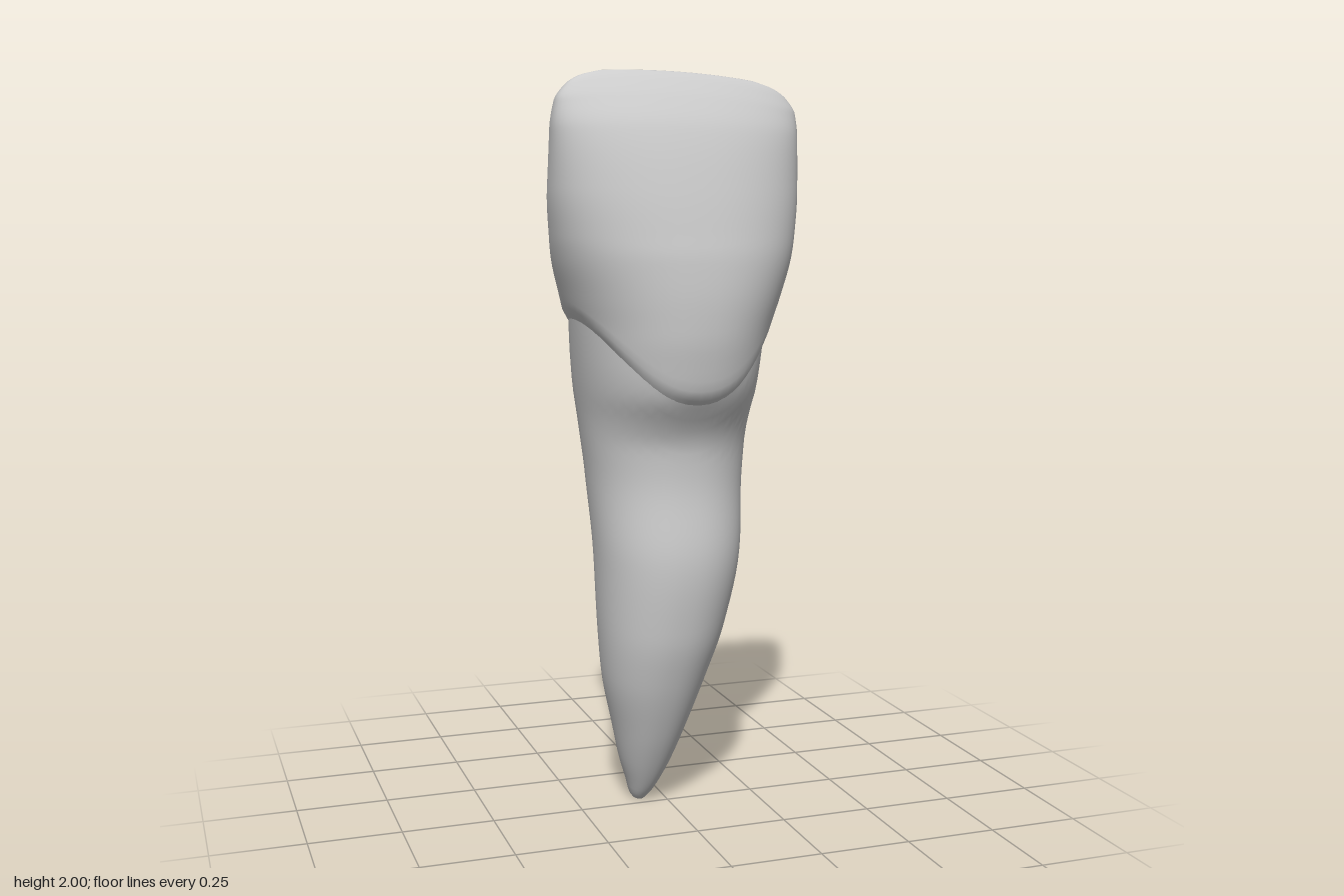
import * as THREE from 'three';

const SIDES = 64;

// Each row: height, min x, max x, front z, back z, z of the widest point
const ROOT = [
  [0, -0.085, -0.055, -0.03, -0.08, -0.055],
  [0.015, -0.095, -0.04, -0.015, -0.092, -0.053],
  [0.05, -0.105, -0.02, 0.01, -0.1, -0.045],
  [0.12, -0.127, 0.012, 0.05, -0.11, -0.035],
  [0.22, -0.15, 0.047, 0.098, -0.124, -0.02],
  [0.38, -0.184, 0.1, 0.16, -0.146, 0],
  [0.52, -0.196, 0.145, 0.198, -0.168, 0.01],
  [0.72, -0.204, 0.188, 0.22, -0.198, 0.01],
  [0.94, -0.218, 0.205, 0.2, -0.238, -0.02],
  [1.03, -0.228, 0.212, 0.205, -0.26, -0.02],
  [1.1, -0.236, 0.22, 0.235, -0.283, -0.02],
  [1.17, -0.246, 0.23, 0.278, -0.306, -0.01],
  [1.24, -0.254, 0.238, 0.292, -0.303, 0],
  [1.42, -0.272, 0.26, 0.3, -0.21, 0.01],
];
const CROWN = [
  [1.12, -0.23, 0.22, 0.25, -0.275, -0.02],
  [1.17, -0.246, 0.232, 0.285, -0.295, -0.01],
  [1.25, -0.257, 0.243, 0.302, -0.315, 0],
  [1.33, -0.269, 0.257, 0.313, -0.275, 0.01],
  [1.42, -0.295, 0.288, 0.316, -0.218, 0.02],
  [1.52, -0.325, 0.32, 0.312, -0.145, 0.04],
  [1.58, -0.337, 0.332, 0.302, -0.088, 0.05],
  [1.7, -0.349, 0.346, 0.275, -0.052, 0.06],
  [1.85, -0.35, 0.35, 0.225, -0.015, 0.075],
  [1.93, -0.34, 0.345, 0.175, 0.01, 0.08],
  [1.97, -0.312, 0.318, 0.14, 0.03, 0.085],
  [1.99, -0.275, 0.278, 0.118, 0.05, 0.088],
  [2, -0.22, 0.22, 0.1, 0.072, 0.09],
];

const smooth = THREE.MathUtils.smoothstep;

// Smooth cubic interpolation of a table row at height y
function sample(rows, y) {
  const last = rows.length - 1;
  let i = 0;
  while (i < last - 1 && y > rows[i + 1][0]) i++;
  const h = rows[i + 1][0] - rows[i][0];
  const t = THREE.MathUtils.clamp((y - rows[i][0]) / h, 0, 1);
  const slope = (k, c) => {
    const a = rows[Math.max(k - 1, 0)], b = rows[k], d = rows[Math.min(k + 1, last)];
    if (k === 0 || k === last) return (d[c] - a[c]) / (d[0] - a[0]);
    const s0 = (b[c] - a[c]) / (b[0] - a[0]), s1 = (d[c] - b[c]) / (d[0] - b[0]);
    return s0 * s1 > 0 ? (2 * s0 * s1) / (s0 + s1) : 0;
  };
  return [1, 2, 3, 4, 5].map((c) =>
    (2 * t ** 3 - 3 * t * t + 1) * rows[i][c] + (t ** 3 - 2 * t * t + t) * h * slope(i, c) +
    (3 * t * t - 2 * t ** 3) * rows[i + 1][c] + (t ** 3 - t * t) * h * slope(i + 1, c));
}

// Scalloped neck line: low in front, high at the sides
const neckHeight = (a) => 1.37 - (Math.sin(a) > 0 ? 0.22 : 0.13) * Math.sin(a) ** 2;

// Point of a superellipse section, with separate front and back depths
function sectionPoint(rows, y, a, nBack, inset = 1) {
  const [x0, x1, zf, zb, zc] = sample(rows, y);
  const c = Math.cos(a), s = Math.sin(a), n = s > 0 ? 2.15 : nBack;
  const u = Math.sign(c) * Math.abs(c) ** (2 / n), v = Math.abs(s) ** (2 / n);
  return new THREE.Vector3(
    (x0 + x1) / 2 + u * inset * (x1 - x0) / 2, y, zc + v * inset * ((s > 0 ? zf : zb) - zc));
}

// Skin a stack of rings, closing the chosen ends
function loft(name, count, pointAt, capBottom, capTop) {
  const pos = [], idx = [];
  for (let j = 0; j <= count; j++)
    for (let i = 0; i < SIDES; i++) pos.push(...pointAt(j / count, (i / SIDES) * Math.PI * 2).toArray());
  for (let j = 0; j < count; j++)
    for (let i = 0; i < SIDES; i++) {
      const k = (i + 1) % SIDES, a = j * SIDES + i, b = j * SIDES + k;
      idx.push(a, a + SIDES, b, b, a + SIDES, b + SIDES);
    }
  const cap = (row, up) => {
    const base = row * SIDES, mid = pos.length / 3, p = [0, 0, 0];
    for (let i = 0; i < SIDES; i++) for (let c = 0; c < 3; c++) p[c] += pos[(base + i) * 3 + c] / SIDES;
    pos.push(...p);
    for (let i = 0; i < SIDES; i++) {
      const a = base + i, b = base + (i + 1) % SIDES;
      idx.push(mid, up ? b : a, up ? a : b);
    }
  };
  if (capBottom) cap(0, false);
  if (capTop) cap(count, true);
  const geo = new THREE.BufferGeometry();
  geo.setAttribute('position', new THREE.Float32BufferAttribute(pos, 3));
  geo.setIndex(idx);
  geo.computeVertexNormals();
  const mesh = new THREE.Mesh(geo, new THREE.MeshStandardMaterial({ color: 0xcccccc, side: THREE.DoubleSide }));
  mesh.name = name;
  return mesh;
}

export function createModel() {
  const tooth = new THREE.Group();
  tooth.name = 'incisorTooth';

  // Tapering root, ending just under the crown's rim
  tooth.add(loft('root', 48, (t, a) =>
    sectionPoint(ROOT, t ** 1.3 * (neckHeight(a) + 0.02), a, 2.25), true, false));

  // Crown: bulged front, sloping back heel and a hollow between two side ridges
  tooth.add(loft('crown', 56, (t, a) => {
    const start = neckHeight(a) - 0.015;
    const y = start + (2 - start) * (1 - (1 - t) ** 1.7);
    const inset = 0.95 + 0.06 * smooth(y - start, 0, 0.035) - 0.01 * smooth(y, 1.4, 1.6);
    const p = sectionPoint(CROWN, y, a, 2.2 + 0.9 * smooth(y, 1.4, 1.62), inset);
    if (Math.sin(a) < 0) {
      const across = Math.max(0, 1 - (p.x / 0.27) ** 2) ** 2;
      p.z += 0.075 * across * smooth(y, 1.42, 1.62) * (1 - smooth(y, 1.72, 1.97));
    }
    // Twist and slope of the biting edge
    p.z -= 0.11 * p.x * smooth(y, 1.35, 1.9);
    p.y -= (0.018 * (p.x / 0.3) ** 2 + 0.01 * (p.x / 0.3)) * smooth(y, 1.8, 1.98);
    return p;
  }, false, true));

  return tooth;
}
